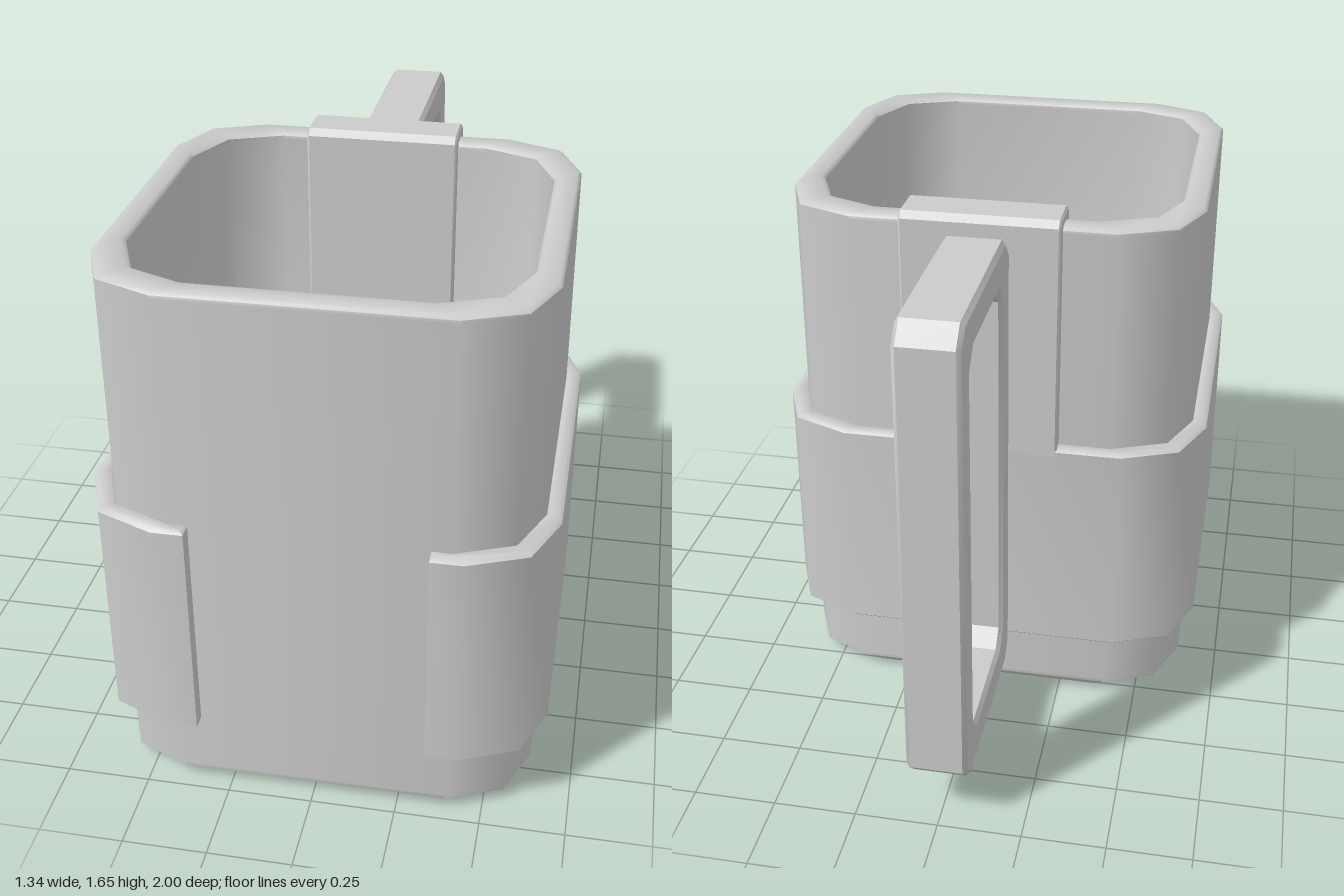
import * as THREE from 'three';
import { toCreasedNormals } from 'three/addons/utils/BufferGeometryUtils.js';

const CENTER_Z = 0.332;
const material = new THREE.MeshStandardMaterial({ color: 0xcccccc });

// Rounded square outline with two facets per corner, as [x, z] points
function roundedSquare(half, radius) {
  const r = Math.min(radius, half);
  const points = [];
  for (let corner = 0; corner < 4; corner++) {
    const mid = (corner + 0.5) * Math.PI / 2;
    const cx = Math.sign(Math.cos(mid)) * (half - r);
    const cz = Math.sign(Math.sin(mid)) * (half - r);
    for (let i = 0; i < 3; i++) {
      const a = corner * Math.PI / 2 + i * Math.PI / 4;
      points.push([cx + r * Math.cos(a), cz + r * Math.sin(a) + CENTER_Z]);
    }
  }
  return points;
}

// Skin a stack of rounded squares given as [half width, y]
function loftSquares(levels, radius) {
  const positions = [], index = [], n = 12;
  levels.forEach(([half, y], k) => {
    for (const [x, z] of roundedSquare(half, radius)) positions.push(x, y, z);
    if (k === 0) return;
    for (let i = 0; i < n; i++) {
      const j = (i + 1) % n, low = (k - 1) * n, high = k * n;
      index.push(low + i, high + i, low + j, low + j, high + i, high + j);
    }
  });
  const geometry = new THREE.BufferGeometry();
  geometry.setAttribute('position', new THREE.Float32BufferAttribute(positions, 3));
  geometry.setIndex(index);
  return toCreasedNormals(geometry, 0.85);
}

const toShape = (points) => new THREE.Shape(points.map(([x, y]) => new THREE.Vector2(x, y)));

// Extrude to an exact overall depth, with chamfered edges inside the outline
function extrude(shape, depth, bevel, crease) {
  const geometry = new THREE.ExtrudeGeometry(shape, {
    depth: depth - 2 * bevel, bevelEnabled: true, bevelSegments: 1,
    bevelThickness: bevel, bevelSize: bevel * 1.15, bevelOffset: -bevel * 1.15,
  });
  geometry.translate(0, 0, bevel - depth / 2);
  return toCreasedNormals(geometry, crease);
}

// Rectangle with cut corners in the z, y plane
function cutRectangle(z0, z1, y0, y1, cut) {
  return [
    [z0 + cut, y0], [z1 - cut, y0], [z1, y0 + cut], [z1, y1 - cut],
    [z1 - cut, y1], [z0 + cut, y1], [z0, y1 - cut], [z0, y0 + cut],
  ];
}

export function createModel() {
  const group = new THREE.Group();
  const add = (name, geometry) => {
    const mesh = new THREE.Mesh(geometry, material);
    mesh.name = name;
    group.add(mesh);
  };

  // Hollow cup: underside, outer wall, rim, inner wall, floor
  add('cup', loftSquares([
    [0, 0], [0.575, 0], [0.587, 0], [0.624, 0.037], [0.624, 0.05],
    [0.624, 1.6], [0.624, 1.61], [0.614, 1.62], [0.56, 1.62], [0.55, 1.61], [0.55, 1.6],
    [0.55, 0.14], [0.535, 0.1], [0.49, 0.08], [0, 0.08],
  ], 0.23));

  // Wrap-around band, open at the front
  const gap = 0.335;
  const openLoop = (half, radius) => {
    const p = roundedSquare(half, radius);
    // start at the front right end and run round the back to the front left end
    const path = [...p.slice(3), ...p.slice(0, 3)];
    const z = half + CENTER_Z;
    return [[-gap, z], ...path, [gap, z]];
  };
  const bandShape = toShape([...openLoop(0.668, 0.24), ...openLoop(0.621, 0.23).reverse()]);
  const band = extrude(bandShape, 0.7, 0.01, 0.8);
  band.rotateX(Math.PI / 2).translate(0, 0.575, 0);
  add('band', band);

  // Clip rising from the band and hooking over the rim
  const clip = extrude(toShape([
    [-0.336, 0.9], [-0.284, 0.9], [-0.284, 1.615], [-0.225, 1.615], [-0.225, 0.9],
    [-0.175, 0.9], [-0.175, 1.63], [-0.195, 1.65], [-0.316, 1.65], [-0.336, 1.63],
  ]), 0.47, 0.006, 0.6);
  clip.rotateY(-Math.PI / 2);
  add('rimClip', clip);

  // Rectangular handle with an open grip
  const handleShape = toShape(cutRectangle(-1, -0.335, 0.155, 1.61, 0.055));
  handleShape.holes.push(new THREE.Path(
    cutRectangle(-0.89, -0.445, 0.275, 1.495, 0.05).reverse().map(([z, y]) => new THREE.Vector2(z, y)),
  ));
  const handle = extrude(handleShape, 0.18, 0.012, 0.6);
  handle.rotateY(-Math.PI / 2);
  add('handle', handle);

  return group;
}
